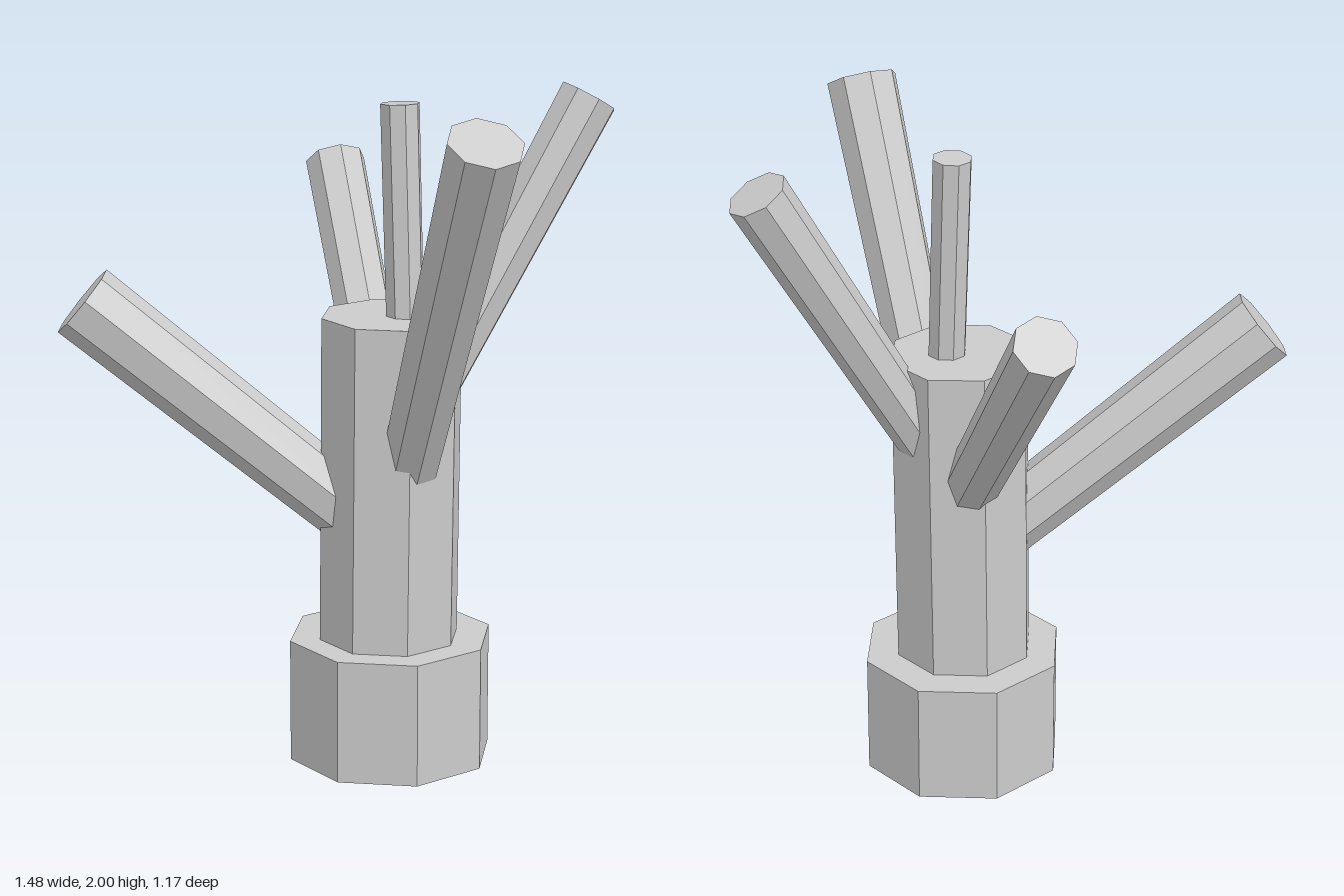
import * as THREE from 'three';

const SIDES = 8;
const UP = new THREE.Vector3(0, 1, 0);

export function createModel() {
  const model = new THREE.Group();
  model.name = 'branchedPost';
  const material = new THREE.MeshStandardMaterial({ color: 0xcccccc, flatShading: true });

  // Octagonal log running from one point to another
  function addLog(name, from, to, fromRadius, toRadius) {
    const start = new THREE.Vector3(...from);
    const end = new THREE.Vector3(...to);
    const axis = end.clone().sub(start);
    const geometry = new THREE.CylinderGeometry(toRadius, fromRadius, axis.length(), SIDES);
    const log = new THREE.Mesh(geometry, material);
    log.name = name;
    log.position.copy(start).add(end).multiplyScalar(0.5);
    log.quaternion.setFromUnitVectors(UP, axis.normalize());
    model.add(log);
  }

  // Wide foot and the trunk standing on it
  addLog('base', [0.09, 0, 0.01], [0.09, 0.37, 0.01], 0.305, 0.305);
  addLog('trunk', [0.09, 0.3, 0.02], [0.1, 1.34, 0.02], 0.21, 0.21);

  // Four branches, rooted inside the trunk and slightly thicker at the tip
  addLog('frontLeftBranch', [0.167, 0.85, 0.06], [0.64, 1.95, 0.47], 0.087, 0.107);
  addLog('frontRightBranch', [0.04, 0.72, 0.065], [-0.66, 1.385, 0.484], 0.102, 0.114);
  addLog('backRightBranch', [0.06, 0.9, -0.04], [-0.402, 1.67, -0.498], 0.083, 0.092);
  addLog('backLeftBranch', [0.13, 1.0, -0.048], [0.478, 1.94, -0.464], 0.076, 0.09);

  // Thin stem rising from the top of the trunk
  addLog('topStem', [0.139, 1.2, 0.006], [0.105, 1.95, -0.012], 0.056, 0.058);

  return model;
}
